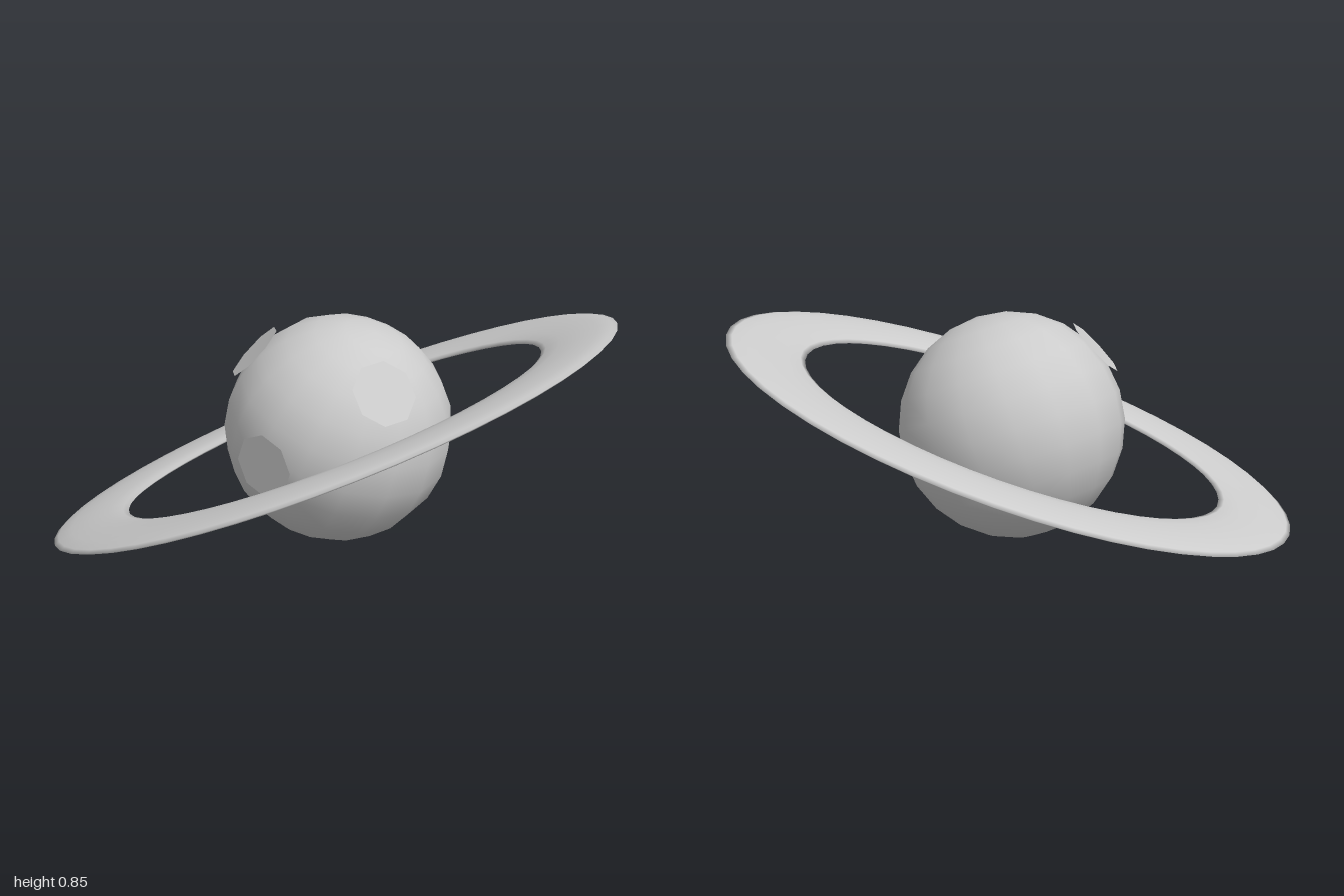
import * as THREE from 'three';

const CENTER = new THREE.Vector3(0.02, 0.428, 0.008);
const RADIUS = 0.426;

// Flat elliptical ring: a unit torus whose vertices are remapped by rule
function ringGeometry() {
  const geo = new THREE.TorusGeometry(1, 0.5, 12, 48);
  const pos = geo.attributes.position, nor = geo.attributes.normal;
  const p = new THREE.Vector3(), n = new THREE.Vector3();
  for (let i = 0; i < pos.count; i++) {
    p.fromBufferAttribute(pos, i);
    n.fromBufferAttribute(nor, i);
    const r = Math.hypot(p.x, p.y), c = (r - 1) / 0.5, ca = p.x / r, sa = p.y / r;
    pos.setXYZ(i, ca * (0.978 + 0.15 * c), sa * (0.671 + 0.118 * c), p.z * 0.036);
    // Normal of the flattened tube
    n.set(n.x / 0.978, n.y / 0.671, n.z * 7).normalize();
    nor.setXYZ(i, n.x, n.y, n.z);
  }
  return geo;
}

export function createModel() {
  const model = new THREE.Group();
  const grey = new THREE.MeshStandardMaterial({ color: 0xcccccc });
  const thin = new THREE.MeshStandardMaterial({ color: 0xcccccc, side: THREE.DoubleSide });

  // Planet body
  const planet = new THREE.Mesh(new THREE.SphereGeometry(RADIUS, 16, 12), grey);
  planet.name = 'planet';
  planet.position.copy(CENTER);
  planet.rotation.set(0.1, 0, -0.37);
  model.add(planet);

  // Tilted ring, long axis running to the back left
  const normal = new THREE.Vector3(-0.39, 1, 0.04).normalize();
  const across = new THREE.Vector3(1, 0.39, 0).normalize();
  const depth = new THREE.Vector3().crossVectors(across, normal);
  const angle = THREE.MathUtils.degToRad(-25.1);
  const major = across.clone().multiplyScalar(Math.cos(angle)).addScaledVector(depth, Math.sin(angle));
  const minor = new THREE.Vector3().crossVectors(normal, major);
  const ring = new THREE.Mesh(ringGeometry(), grey);
  ring.name = 'ring';
  ring.quaternion.setFromRotationMatrix(new THREE.Matrix4().makeBasis(major, minor, normal));
  ring.position.set(0, 0.418, 0);
  model.add(ring);

  // Octagonal craters lying against the surface
  const craters = [[-0.145, -0.03, 0.404], [0.255, 0.238, 0.25], [-0.287, 0.295, 0.105]];
  craters.forEach((d, i) => {
    const dir = new THREE.Vector3(...d).normalize();
    const crater = new THREE.Mesh(new THREE.CircleGeometry(0.122, 8), thin);
    crater.name = 'crater' + (i + 1);
    crater.position.copy(CENTER).addScaledVector(dir, 0.43);
    crater.quaternion.setFromUnitVectors(new THREE.Vector3(0, 0, 1), dir);
    model.add(crater);
  });
  return model;
}
